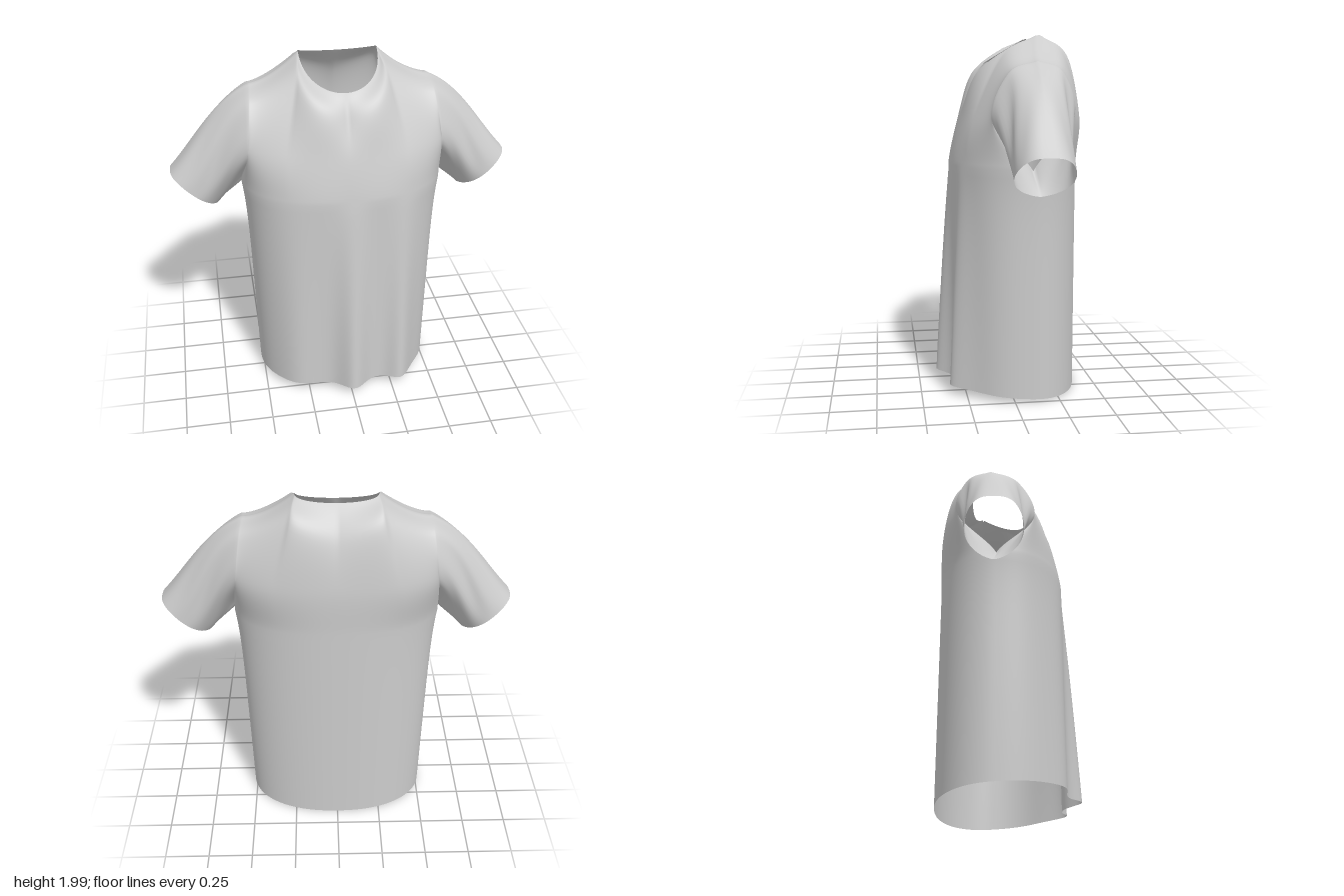
import * as THREE from 'three';
import { mergeGeometries, mergeVertices } from 'three/addons/utils/BufferGeometryUtils.js';

const V = (x, y, z) => new THREE.Vector3(x, y, z);
const N = 96;            // columns across each panel
const ROWS = 28;         // rows in each section
const CHEST = 1.28;      // armpit height
const bump = (x, c, w) => Math.exp(-(((x - c) / w) ** 2));

// Turns rows of points into unindexed triangles
function grid(rows, flip = false) {
  const pos = [];
  for (let r = 0; r < rows.length - 1; r++) {
    for (let c = 0; c < rows[r].length - 1; c++) {
      const a = rows[r][c], b = rows[r][c + 1], d = rows[r + 1][c], e = rows[r + 1][c + 1];
      const corners = flip ? [a, e, b, a, d, e] : [a, b, e, a, e, d];
      corners.forEach((p) => pos.push(p.x, p.y, p.z));
    }
  }
  const g = new THREE.BufferGeometry();
  g.setAttribute('position', new THREE.Float32BufferAttribute(pos, 3));
  return g;
}

// Sideways and depth factors of a column; u runs from -1 (right) to 1 (left)
const across = (u) => Math.sin(u * Math.PI / 2);
const depth = (u, roundness) => (1 - Math.abs(across(u)) ** roundness) ** (1 / roundness);

// Trunk from hem to armpit, with drape folds growing towards the front hem
function trunkPoint(u, front, y) {
  const k = y / CHEST;
  const x = (0.515 + 0.033 * k + 0.02 * k ** 8) * across(u);
  const d = depth(u, front ? 2.4 : 2.2);
  let z = -0.08 + (front ? 0.39 : -0.32) * d;
  if (front) {
    const folds = 0.09 * bump(x, 0.01, 0.085) + 0.08 * bump(x, 0.31, 0.08) + 0.03 * bump(x, -0.33, 0.11);
    z += folds * (1 - k) ** 0.8 * Math.min(1, d * 2);
  }
  return V(x, y + (1 - k) * (0.028 + 0.07 * z), z);
}

// Neckline in the middle, shoulder seam on either side
function topPoint(u, front) {
  const s = Math.abs(u), side = Math.sign(u), neck = 0.42;
  if (s < neck) {
    const a = (s / neck) * Math.PI / 2, c = Math.cos(a);
    return front
      ? V(side * 0.217 * Math.sin(a), 1.995 - 0.152 * c ** 0.9, -0.16 + 0.27 * c ** 0.9)
      : V(side * 0.217 * Math.sin(a), 1.995 - 0.03 * c, -0.16 - 0.065 * c ** 0.6);
  }
  const t = (s - neck) / (1 - neck);
  return V(side * (0.217 + 0.283 * t), 1.845 + 0.15 * (1 - t) ** 1.7, -0.16 + 0.045 * t);
}

// One column of the chest or upper back, from armpit level to the top edge
function yokeColumn(u, front) {
  const s = Math.abs(u), base = trunkPoint(u, front, CHEST), top = topPoint(u, front);
  const w = Math.abs(across(u));
  const mid = front
    ? V(0.535 * across(u), 1.53, 0.13 + 0.128 * (1 - w ** 2))
    : V(0.535 * across(u), 1.55, -0.3 - 0.1 * (1 - w ** 3));
  const k = Math.sin(Math.min(1, s / 0.45) * Math.PI / 2);
  const high = mid.clone().lerp(top, 0.55 + 0.13 * k);
  high.y += 0.02 + 0.015 * k;
  high.z += front ? 0.08 * k : -0.04 - 0.035 * k;
  const curve = new THREE.CatmullRomCurve3(
    [base.clone().add(V(0, -0.2, 0)), base, mid, high, top], false, 'catmullrom', 0.5);
  const out = [];
  for (let i = 0; i <= ROWS; i++) out.push(curve.getPoint(0.25 + 0.75 * i / ROWS));
  return out;
}

function yoke(front) {
  const columns = [];
  for (let c = 0; c <= N; c++) {
    const u = -1 + 2 * c / N;
    columns.push(yokeColumn(front ? u : -u, front));
  }
  return grid(columns[0].map((_, r) => columns.map((col) => col[r])));
}

function trunk() {
  const rows = [];
  for (let r = 0; r <= ROWS; r++) {
    const y = CHEST * r / ROWS, row = [];
    for (let c = 0; c <= N; c++) row.push(trunkPoint(-1 + 2 * c / N, true, y));
    for (let c = 1; c <= N; c++) row.push(trunkPoint(1 - 2 * c / N, false, y));
    rows.push(row);
  }
  return grid(rows);
}

// Sleeve lofted from the armhole loop to a slanted oval cuff, pointed below
function sleeve(side) {
  const armhole = [...yokeColumn(1, true), ...yokeColumn(1, false).reverse().slice(1)];
  const rows = [];
  for (let r = 0; r <= ROWS; r++) {
    const t = r / ROWS, t2 = t * t, t3 = t2 * t;
    rows.push(armhole.map((start, i) => {
      const a = Math.PI * i / ROWS, up = (1 - Math.cos(a)) / 2, sin = Math.sin(a);
      const swell = Math.sign(sin) * Math.abs(sin) ** (1.3 - 0.6 * up);
      const end = V(0.83 - 0.13 * Math.cos(a), 1.267 - 0.108 * Math.cos(a), -0.095 + 0.155 * swell);
      const len = start.distanceTo(end);
      const from = V(0.6 + 0.32 * up, -0.6 + 0.2 * up, -0.25 * sin).multiplyScalar(len);
      const to = V(0.68, -0.73, 0).multiplyScalar(len);
      const p = start.clone().multiplyScalar(2 * t3 - 3 * t2 + 1)
        .addScaledVector(from, t3 - 2 * t2 + t)
        .addScaledVector(end, 3 * t2 - 2 * t3)
        .addScaledVector(to, t3 - t2);
      // Soft creases fanning out of the armpit
      p.z += 0.007 * sin * Math.sin(up * 17 + t * 3) * Math.sin(Math.PI * t);
      p.x *= side;
      return p;
    }));
  }
  return grid(rows, side > 0);
}

export function createModel() {
  const group = new THREE.Group();
  group.name = 'tShirt';
  const fabric = new THREE.MeshStandardMaterial({ color: 0xcccccc, side: THREE.DoubleSide });
  fabric.name = 'lightGreyFabric';

  const parts = {
    trunk: trunk(),
    chestPanel: yoke(true),
    upperBackPanel: yoke(false),
    leftSleeve: sleeve(1),
    rightSleeve: sleeve(-1),
  };

  // Normals are computed over the joined cloth so that no seam shows
  const joined = mergeVertices(mergeGeometries(Object.values(parts)), 1e-4);
  joined.computeVertexNormals();
  const normals = joined.toNonIndexed().getAttribute('normal').array;
  let offset = 0;
  for (const [name, geometry] of Object.entries(parts)) {
    const count = geometry.getAttribute('position').count * 3;
    geometry.setAttribute('normal', new THREE.Float32BufferAttribute(normals.slice(offset, offset + count), 3));
    offset += count;
    const mesh = new THREE.Mesh(geometry, fabric);
    mesh.name = name;
    group.add(mesh);
  }
  return group;
}
